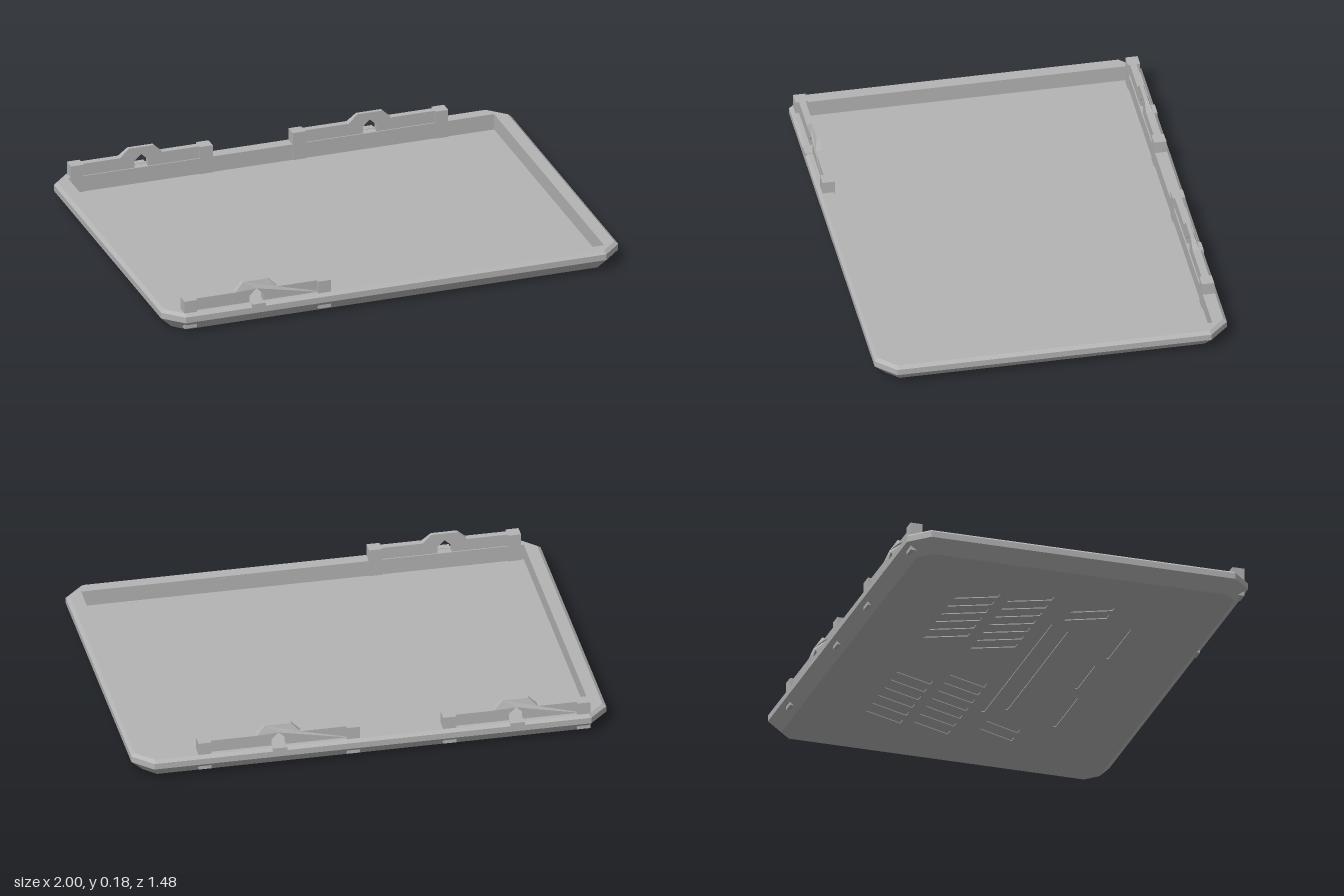
import * as THREE from 'three';

const grey = new THREE.MeshStandardMaterial({ color: 0xb4b4b4 });
grey.name = 'plain grey';

// Eight-sided outline: a rectangle with its corners cut off by c
function outline(hx, hz, c) {
  return [
    [hx, hz - c], [hx - c, hz], [c - hx, hz], [-hx, hz - c],
    [-hx, c - hz], [c - hx, -hz], [hx - c, -hz], [hx, c - hz],
  ];
}

function shapeOf(points) {
  return new THREE.Shape(points.map(([x, y]) => new THREE.Vector2(x, y)));
}

function add(parent, geometry, name) {
  const mesh = new THREE.Mesh(geometry, grey);
  mesh.name = name;
  parent.add(mesh);
  return mesh;
}

// Strips joining successive outlines, from the cavity over the rim to the underside
function shellGeometry(rings) {
  const pos = [];
  for (let r = 0; r < rings.length - 1; r++) {
    const [a, b] = [rings[r], rings[r + 1]];
    for (let i = 0; i < 8; i++) {
      const j = (i + 1) % 8;
      const put = (ring, k) => pos.push(ring.pts[k][0], ring.y, ring.pts[k][1]);
      put(a, j); put(b, j); put(b, i);
      put(a, j); put(b, i); put(a, i);
    }
  }
  const g = new THREE.BufferGeometry();
  g.setAttribute('position', new THREE.Float32BufferAttribute(pos, 3));
  g.computeVertexNormals();
  return g;
}

// Vent slots and grooves sunk into the underside
function ventHoles() {
  const holes = [];
  const rows = [
    { z0: -0.42, z1: -0.25, from: 0.16, count: 6 },
    { z0: -0.2, z1: -0.03, from: 0.12, count: 7 },
    { z0: 0.08, z1: 0.24, from: 0.5, count: 2 },
  ];
  for (const side of [-1, 1]) {
    for (const { z0, z1, from, count } of rows) {
      for (let i = 0; i < count; i++) {
        const x = from + i * 0.08;
        holes.push([[x, -z0], [x + 0.035, -z0], [x + 0.105, -z1], [x + 0.07, -z1]]
          .map(([px, py]) => [px * side, py]));
      }
    }
  }
  const groove = (x0, x1, z0, z1) => holes.push([[x0, -z0], [x1, -z0], [x1, -z1], [x0, -z1]]);
  groove(-0.45, 0.45, 0.03, 0.045);
  groove(-0.4, 0.4, 0.12, 0.13);
  groove(-0.5, -0.2, 0.36, 0.37);
  groove(0.2, 0.5, 0.36, 0.37);
  groove(-0.12, 0.12, 0.33, 0.34);
  return holes;
}

function buildTray() {
  const tray = new THREE.Group();
  tray.name = 'tray';
  const cavity = outline(0.932, 0.676, 0.001);
  add(tray, shellGeometry([
    { y: 0.02, pts: cavity },
    { y: 0.09, pts: cavity },
    { y: 0.09, pts: outline(0.985, 0.727, 0.072) },
    { y: 0.078, pts: outline(1, 0.74, 0.08) },
    { y: 0.052, pts: outline(1, 0.74, 0.08) },
    { y: 0, pts: outline(0.948, 0.69, 0.05) },
  ]), 'shell');
  add(tray, new THREE.ShapeGeometry(shapeOf(cavity)).rotateX(-Math.PI / 2), 'floor')
    .position.y = 0.02;

  const base = outline(0.948, 0.69, 0.05);
  const under = shapeOf(base);
  for (const h of ventHoles()) under.holes.push(shapeOf(h));
  add(tray, new THREE.ExtrudeGeometry(under, { depth: 0.004, bevelEnabled: false })
    .rotateX(-Math.PI / 2), 'underside');
  add(tray, new THREE.ShapeGeometry(shapeOf(base)).rotateX(Math.PI / 2), 'ventBottom')
    .position.y = 0.004;
  return tray;
}

// Upright clip rail, built on the +z edge with its catch at x = 0
function buildClip(x0, x1, name) {
  const clip = new THREE.Group();
  clip.name = name;
  const block = 0.055;

  // Rail with raised hump and a pointed opening
  const rail = shapeOf([
    [x0, 0.08], [x1, 0.08], [x1, 0.143], [0.092, 0.143],
    [0.055, 0.18], [-0.055, 0.18], [-0.092, 0.143], [x0, 0.143],
  ]);
  rail.holes.push(shapeOf([[-0.03, 0.085], [0.03, 0.085], [0.03, 0.12], [0, 0.148], [-0.03, 0.12]]));
  const g = new THREE.ExtrudeGeometry(rail, { depth: 0.028, bevelEnabled: false });
  g.translate(0, 0, 0.681);
  const p = g.attributes.position;
  // Lean the outer top of the hump inward
  for (let i = 0; i < p.count; i++) {
    if (p.getY(i) > 0.17 && p.getZ(i) > 0.7) p.setZ(i, 0.697);
  }
  g.computeVertexNormals();
  add(clip, g, 'rail');

  // End posts reaching down to the floor
  for (const x of [x0 + block / 2, x1 - block / 2]) {
    add(clip, new THREE.BoxGeometry(block, 0.123, 0.052), 'endPost').position.set(x, 0.0815, 0.698);
  }

  // Small catch in the rim
  add(clip, new THREE.BoxGeometry(0.06, 0.036, 0.03), 'catch').position.set(0, 0.074, 0.7255);
  return clip;
}

export function createModel() {
  const model = new THREE.Group();
  model.name = 'cover';
  model.add(buildTray());

  const front = buildClip(-0.32, 0.32, 'frontClip');
  front.position.x = -0.6;
  model.add(front);

  // Back clips are turned to face -z
  for (const [x, a, b, name] of [
    [-0.61, -0.31, 0.31, 'backRightClip'],
    [0.39, -0.34, 0.34, 'backLeftClip'],
  ]) {
    const clip = buildClip(a, b, name);
    clip.rotation.y = Math.PI;
    clip.position.x = x;
    model.add(clip);
  }
  return model;
}
